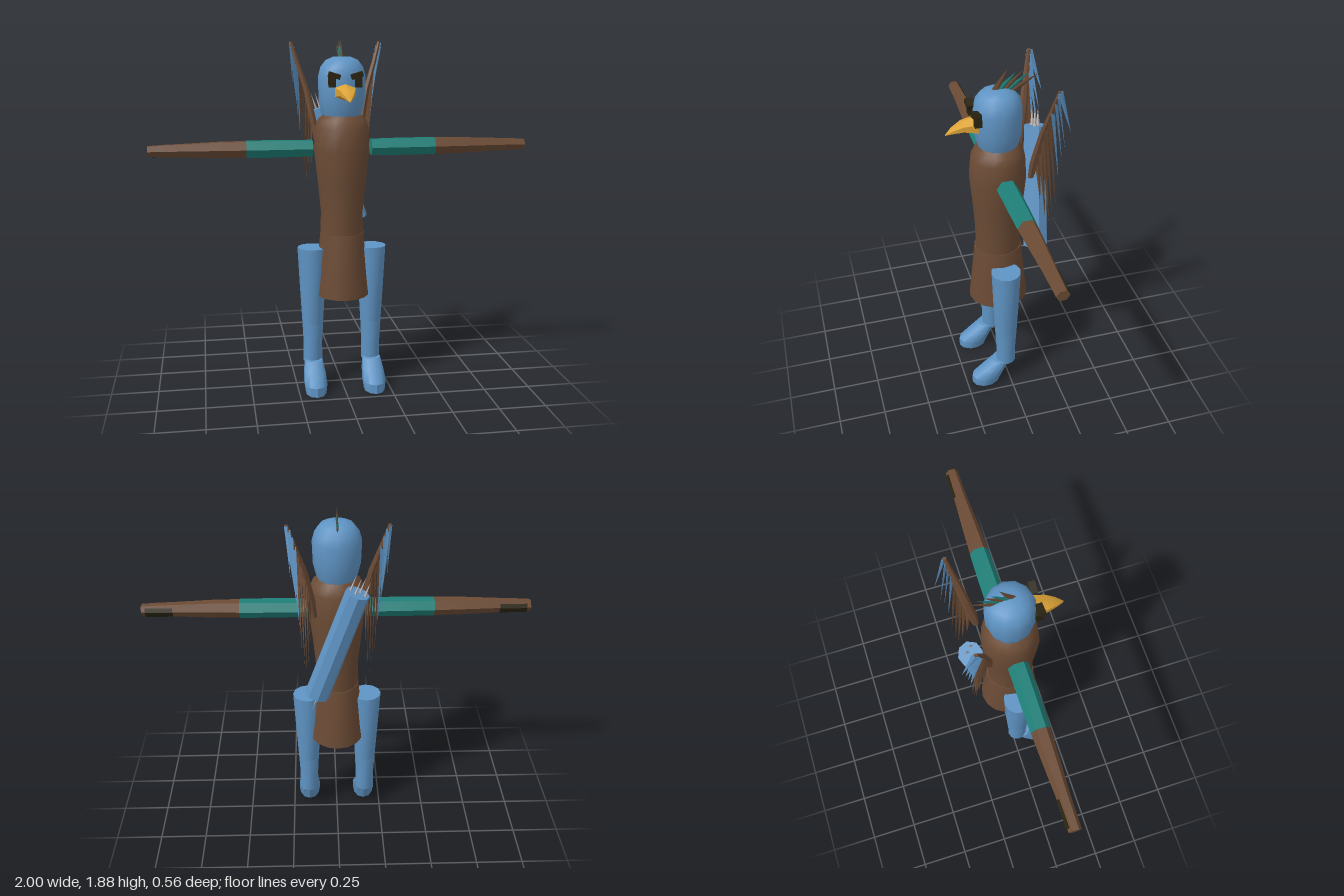
import * as THREE from 'three';
import { toCreasedNormals } from 'three/addons/utils/BufferGeometryUtils.js';

const material = (name, color) => {
  const m = new THREE.MeshStandardMaterial({ color });
  m.name = name;
  return m;
};

// Closed body through rings [y, rx, rz, cx, cz]
function loft(rings, sides) {
  const pos = [], idx = [];
  for (const [y, rx, rz, cx = 0, cz = 0] of rings) {
    for (let i = 0; i < sides; i++) {
      const a = (i / sides) * Math.PI * 2;
      pos.push(cx + rx * Math.sin(a), y, cz + rz * Math.cos(a));
    }
  }
  const last = rings.length - 1;
  for (let j = 0; j < last; j++) {
    for (let i = 0; i < sides; i++) {
      const a = j * sides + i, b = j * sides + (i + 1) % sides;
      idx.push(a, b, b + sides, a, b + sides, a + sides);
    }
  }
  const [b, t] = [rings[0], rings[last]];
  const c = pos.length / 3;
  pos.push(b[3] || 0, b[0], b[4] || 0, t[3] || 0, t[0], t[4] || 0);
  for (let i = 0; i < sides; i++) {
    const n = (i + 1) % sides;
    idx.push(c, n, i, c + 1, last * sides + i, last * sides + n);
  }
  const g = new THREE.BufferGeometry();
  g.setAttribute('position', new THREE.Float32BufferAttribute(pos, 3));
  g.setIndex(idx);
  return toCreasedNormals(g, 0.65);
}

export function createModel() {
  const model = new THREE.Group();
  model.name = 'birdArcher';
  const blue = material('blue', 0x5f94c4);
  const brown = material('brown', 0x6b4b35);
  const teal = material('teal', 0x1f7f78);
  const gold = material('gold', 0xdba236);
  const dark = material('dark olive', 0x2a2412);
  const grey = material('pale grey', 0xb5adad);

  const add = (name, geometry, mat, parent = model) => {
    const mesh = new THREE.Mesh(geometry, mat);
    mesh.name = name;
    parent.add(mesh);
    return mesh;
  };
  const up = new THREE.Vector3(0, 1, 0);
  // Flattened pointed blade from a base point to a tip
  const spike = (name, from, to, r, mat, parent, flat = 0.35) => {
    const a = new THREE.Vector3(...from), b = new THREE.Vector3(...to);
    const mesh = add(name, toCreasedNormals(new THREE.ConeGeometry(r, a.distanceTo(b), 4), 0.3), mat, parent);
    mesh.position.copy(a).add(b).multiplyScalar(0.5);
    mesh.quaternion.setFromUnitVectors(up, b.sub(a).normalize());
    mesh.scale.x = flat;
    return mesh;
  };

  // Torso and skirt
  add('torso', loft([
    [0.84, 0.115, 0.122, 0, 0.022], [0.98, 0.113, 0.122, 0, 0.022], [1.12, 0.127, 0.132, 0, 0.022],
    [1.3, 0.147, 0.148, 0, 0.022], [1.42, 0.143, 0.138, 0, 0.02], [1.46, 0.128, 0.12, 0, 0.018],
    [1.485, 0.1, 0.1, 0, 0.018]], 16), brown);
  add('skirt', loft([[0.52, 0.146, 0.162, 0, 0.02], [0.86, 0.117, 0.127, 0, 0.022]], 16), brown);

  // Head
  add('head', loft([
    [1.45, 0.09, 0.09], [1.5, 0.107, 0.107], [1.56, 0.121, 0.121], [1.68, 0.125, 0.125],
    [1.73, 0.112, 0.112], [1.765, 0.085, 0.085], [1.782, 0.045, 0.045]], 12).translate(0, 0, 0.02), blue);
  add('beak', loft([
    [0.12, 0.063, 0.048, 0, -1.607], [0.2, 0.045, 0.027, 0, -1.607],
    [0.25, 0.025, 0.015, 0, -1.59], [0.285, 0.003, 0.003, 0, -1.57]], 6).rotateX(Math.PI / 2), gold);
  for (const s of [-1, 1]) {
    add('eye', new THREE.BoxGeometry(0.034, 0.065, 0.035), dark).position.set(s * 0.068, 1.665, 0.137);
    const brow = add('brow', new THREE.BoxGeometry(0.06, 0.026, 0.035), dark);
    brow.position.set(s * 0.058, 1.692, 0.147);
    brow.rotation.z = s * 0.3;
  }

  // Crest feathers fanning backwards
  [[0.03, 1.775, -0.03, 1.885], [0.01, 1.775, -0.07, 1.86], [-0.01, 1.77, -0.105, 1.865],
    [-0.025, 1.765, -0.135, 1.85], [-0.035, 1.755, -0.185, 1.84]].forEach(([z0, y0, z1, y1], i) =>
    spike('crestFeather', [0, y0, z0], [0, y1, z1], 0.022, i % 2 ? teal : brown, model, 0.3));

  for (const s of [-1, 1]) {
    // Arm: sleeve, forearm, hand and glove pads
    const arm = new THREE.Group();
    arm.name = s > 0 ? 'leftArm' : 'rightArm';
    arm.position.set(0, 1.312, 0.015);
    model.add(arm);
    const limb = (name, rings, mat) =>
      add(name, loft(rings, 6).rotateZ(-s * Math.PI / 2), mat, arm);
    const k = 1 / Math.sin(Math.PI / 3);
    limb('sleeve', [[0.155, 0.04 * k, 0.054], [0.34, 0.043 * k, 0.053], [0.5, 0.042 * k, 0.05]], teal);
    limb('forearm', [[0.5, 0.041 * k, 0.049], [0.64, 0.04 * k, 0.044], [0.825, 0.033 * k, 0.035]], brown);
    limb('hand', [[0.825, 0.033 * k, 0.035], [0.92, 0.03 * k, 0.033], [1, 0.025 * k, 0.032]], brown);
    for (const v of [-1, 1]) {
      const pad = add('glovePad', new THREE.BoxGeometry(0.14, v < 0 ? 0.036 : 0.02, 0.006), dark, arm);
      pad.position.set(s * 0.91, v < 0 ? -0.016 : 0.009, v < 0 ? -0.0255 : -0.0295);
      pad.rotation.x = v * 0.5;
    }

    // Leg and foot
    add('upperLeg', loft([[0.36, 0.057, 0.062], [0.55, 0.068, 0.071], [0.78, 0.08, 0.08]], 12)
      .translate(s * 0.16, 0, 0.02), blue);
    add('lowerLeg', loft([[0.14, 0.052, 0.054], [0.24, 0.051, 0.055], [0.36, 0.057, 0.062]], 12)
      .translate(s * 0.16, 0, 0.02), blue);
    add('foot', loft([
      [0, 0.056, 0.077, 0, 0.142], [0.05, 0.063, 0.088, 0, 0.132],
      [0.1, 0.06, 0.07, 0, 0.092], [0.155, 0.05, 0.05, 0, 0.05]], 10).translate(s * 0.16, 0, 0), blue);

    // Wing: bone with hanging feathers
    const wing = new THREE.Group();
    wing.name = s > 0 ? 'leftWing' : 'rightWing';
    model.add(wing);
    add('wingBone', loft([
      [1.33, 0.014, 0.016, s * 0.115, -0.12], [1.42, 0.02, 0.025, s * 0.128, -0.132],
      [1.6, 0.017, 0.022, s * 0.163, -0.162], [1.75, 0.013, 0.015, s * 0.21, -0.19],
      [1.855, 0.009, 0.01, s * 0.24, -0.21]], 6), brown, wing);
    const feather = (name, a, b, mat) =>
      spike(name, [s * a[0], a[1], a[2]], [s * b[0], b[1], b[2]], 0.018, mat, wing, 0.4);
    [[[0.242, 1.85, -0.212], [0.225, 1.62, -0.28]], [[0.235, 1.83, -0.205], [0.205, 1.52, -0.262]],
      [[0.222, 1.79, -0.2], [0.2, 1.45, -0.25]], [[0.208, 1.74, -0.19], [0.19, 1.34, -0.24]]]
      .forEach(([a, b]) => feather('blueFeather', a, b, blue));
    [[[0.195, 1.69, -0.182], [0.18, 1.18, -0.235]], [[0.18, 1.64, -0.173], [0.168, 1.1, -0.222]],
      [[0.165, 1.59, -0.164], [0.158, 1.05, -0.212]], [[0.152, 1.53, -0.155], [0.148, 1.09, -0.192]],
      [[0.138, 1.46, -0.145], [0.14, 1.19, -0.165]]]
      .forEach(([a, b]) => feather('brownFeather', a, b, brown));
  }

  // Quiver slung across the back, with arrows
  const low = new THREE.Vector3(0.108, 0.89, -0.157), high = new THREE.Vector3(-0.095, 1.5, -0.205);
  const quiver = new THREE.Group();
  quiver.name = 'quiver';
  quiver.position.copy(low);
  quiver.quaternion.setFromUnitVectors(up, high.clone().sub(low).normalize());
  model.add(quiver);
  const length = low.distanceTo(high);
  add('quiverCase', loft([[0, 0.066, 0.066], [length, 0.062, 0.06]], 8), blue, quiver);
  [-0.036, -0.012, 0.012, 0.036].forEach((x, i) => {
    const z = i % 2 ? 0.012 : -0.012;
    spike('arrowFletching', [x, length - 0.02, z], [x, length + 0.09, z], 0.013, grey, quiver, 0.6);
  });
  spike('arrowPoint', [0, 0.01, -0.02], [0, -0.08, -0.04], 0.005, grey, quiver, 1);

  return model;
}
